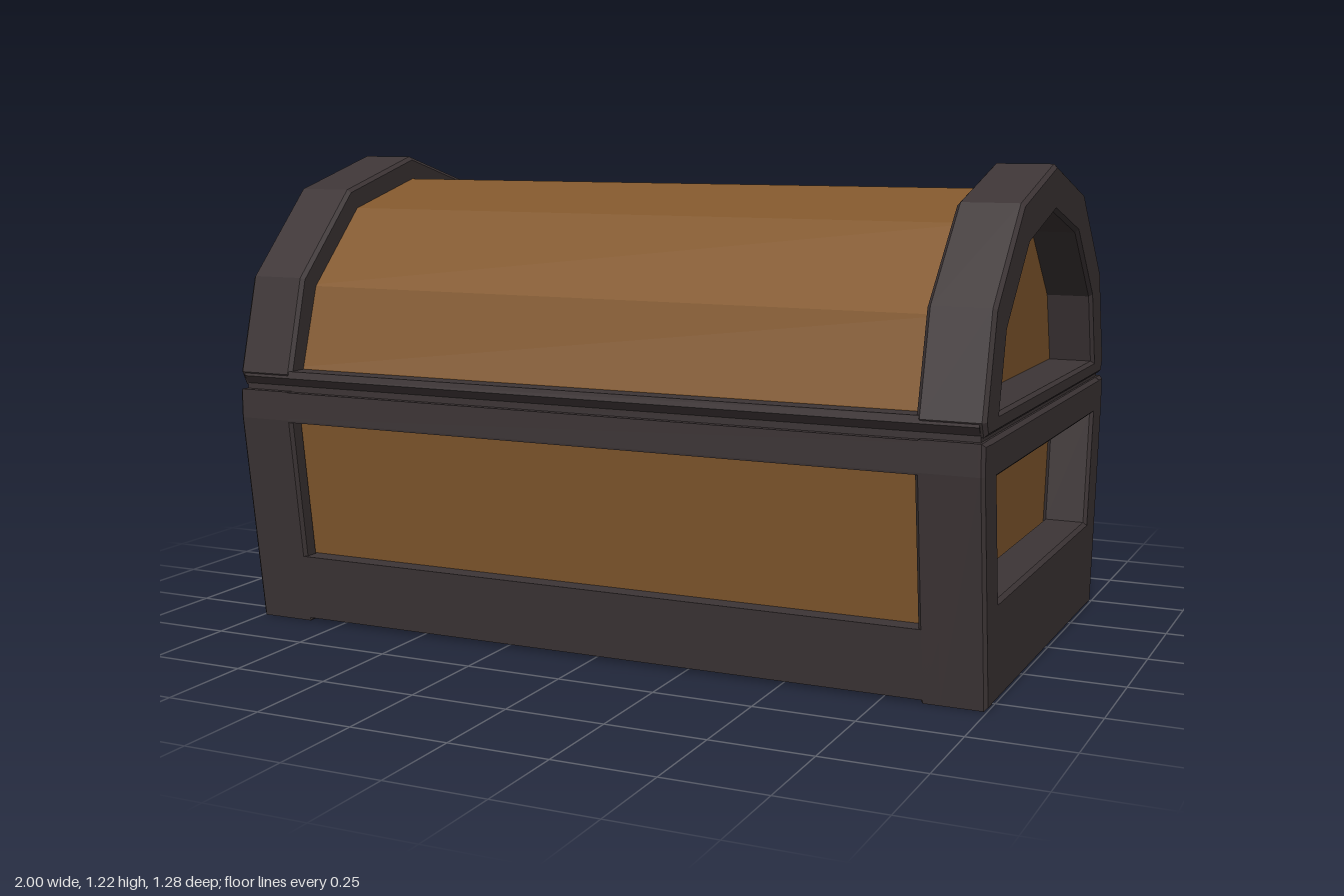
import * as THREE from 'three';

const wood = new THREE.MeshStandardMaterial({ name: 'brownWood', color: 0x82582d });
const iron = new THREE.MeshStandardMaterial({ name: 'darkFrame', color: 0x3d3536 });
const gold = new THREE.MeshStandardMaterial({ name: 'goldClasp', color: 0xe2ab2a });

// Closed outline mirrored about the centre line, from right-hand points listed bottom to top
function mirrored(points) {
  const left = points.filter(([z]) => z > 0).map(([z, y]) => [-z, y]).reverse();
  return [...points, ...left].map(([z, y]) => new THREE.Vector2(z, y));
}

// Extrude a (z, y) outline along x from x0 to x1, with a small bevel kept inside the outline
function extrudeX(outline, x0, x1, bevel = 0, hole = null) {
  const shape = new THREE.Shape(outline);
  if (hole) shape.holes.push(new THREE.Path(hole));
  const geo = new THREE.ExtrudeGeometry(shape, {
    depth: x1 - x0 - 2 * bevel, bevelEnabled: bevel > 0,
    bevelSize: bevel, bevelOffset: -bevel, bevelThickness: bevel, bevelSegments: 1,
  });
  geo.rotateY(-Math.PI / 2);
  geo.translate(x1 - bevel, 0, 0);
  return geo;
}

function part(parent, name, geo, material) {
  const mesh = new THREE.Mesh(geo, material);
  mesh.name = name;
  parent.add(mesh);
  return mesh;
}

// Half depth of the flared base at height y
const halfDepth = (y) => 0.525 + 0.07 * Math.min(y / 0.55, 1);

// Cross-section of a strip of the sloping long wall
function band(y0, y1, thickness = 0.05) {
  const ys = y0 < 0.55 && y1 > 0.55 ? [y0, 0.55, y1] : [y0, y1];
  const outer = ys.map((y) => [halfDepth(y), y]);
  const inner = ys.map((y) => [halfDepth(y) - thickness, y]).reverse();
  return [...outer, ...inner].map(([z, y]) => new THREE.Vector2(z, y));
}

function buildBase() {
  const base = new THREE.Group();
  base.name = 'base';

  // Wooden box behind the frame
  const box = mirrored([[halfDepth(0.03) - 0.05, 0.03], [0.545, 0.55], [0.545, 0.62]]);
  part(base, 'baseWood', extrudeX(box, -0.88, 0.88), wood);

  // End frames with a trapezoid opening
  const outline = mirrored([[0.525, 0], [0.595, 0.55], [0.59, 0.625]]);
  const opening = mirrored([[0.447, 0.24], [0.486, 0.532]]);
  for (const x of [-1, 0.88]) {
    part(base, 'baseEndFrame', extrudeX(outline, x, x + 0.12, 0.009, opening), iron);
  }

  // Rails and corner posts on both long sides
  for (const turn of [0, Math.PI]) {
    const side = new THREE.Group();
    side.name = 'baseSideFrame';
    side.rotation.y = turn;
    part(side, 'bottomRail', extrudeX(band(0.008, 0.18), -0.95, 0.95), iron);
    part(side, 'topRail', extrudeX(band(0.545, 0.623), -0.985, 0.985), iron);
    for (const x of [-1, 0.84]) {
      part(side, 'cornerPost', extrudeX(band(0, 0.625), x, x + 0.16, 0.008), iron);
    }
    base.add(side);
  }
  return base;
}

function buildLid() {
  const lid = new THREE.Group();
  lid.name = 'lid';

  // Faceted wooden vault
  const vault = mirrored([[0.54, 0.645], [0.535, 0.68], [0.47, 0.89], [0.273, 1.085], [0, 1.155]]);
  part(lid, 'lidWood', extrudeX(vault, -0.88, 0.88), wood);

  // Arched end frames
  const arch = mirrored([[0.575, 0.635], [0.592, 0.67], [0.525, 0.915], [0.305, 1.135], [0, 1.217]]);
  const opening = mirrored([[0.477, 0.678], [0.429, 0.857], [0.246, 1.037], [0, 1.102]]);
  for (const x of [-1, 0.84]) {
    part(lid, 'lidArch', extrudeX(arch, x, x + 0.16, 0.009, opening), iron);
  }

  // Long lower rails
  const rail = [[0.5, 0.636], [0.575, 0.636], [0.592, 0.66], [0.588, 0.678], [0.5, 0.678]]
    .map(([z, y]) => new THREE.Vector2(z, y));
  for (const turn of [0, Math.PI]) {
    part(lid, 'lidRail', extrudeX(rail, -0.985, 0.985), iron).rotation.y = turn;
  }
  return lid;
}

// Toothed clasp plate with two notches in its lower edge
function buildClasp() {
  const w = 0.185, h = 0.096, notch = -h + 0.065, bevel = 0.006, depth = 0.079;
  const pts = [[-w, h], [-w, -h]];
  for (const [a, b] of [[-0.1, -0.033], [0.033, 0.1]]) {
    pts.push([a, -h], [a, notch], [b, notch], [b, -h]);
  }
  pts.push([w, -h], [w, h]);
  const shape = new THREE.Shape(pts.map(([x, y]) => new THREE.Vector2(x, y)));
  const geo = new THREE.ExtrudeGeometry(shape, {
    depth: depth - 2 * bevel, bevelSize: bevel, bevelOffset: -bevel,
    bevelThickness: bevel, bevelSegments: 1,
  });
  geo.translate(0, 0, bevel - depth / 2);
  const clasp = new THREE.Mesh(geo, gold);
  clasp.name = 'clasp';
  clasp.position.set(0, 0.583, -0.636);
  clasp.rotation.x = 0.065;
  return clasp;
}

export function createModel() {
  const chest = new THREE.Group();
  chest.name = 'chest';
  const body = new THREE.Group();
  body.name = 'body';
  body.position.z = 0.043;
  body.add(buildBase(), buildLid());

  // Dark seam between base and lid
  const seam = part(body, 'seam', new THREE.BoxGeometry(1.972, 0.03, 1.155), iron);
  seam.position.y = 0.63;

  body.add(buildClasp());
  chest.add(body);
  return chest;
}
